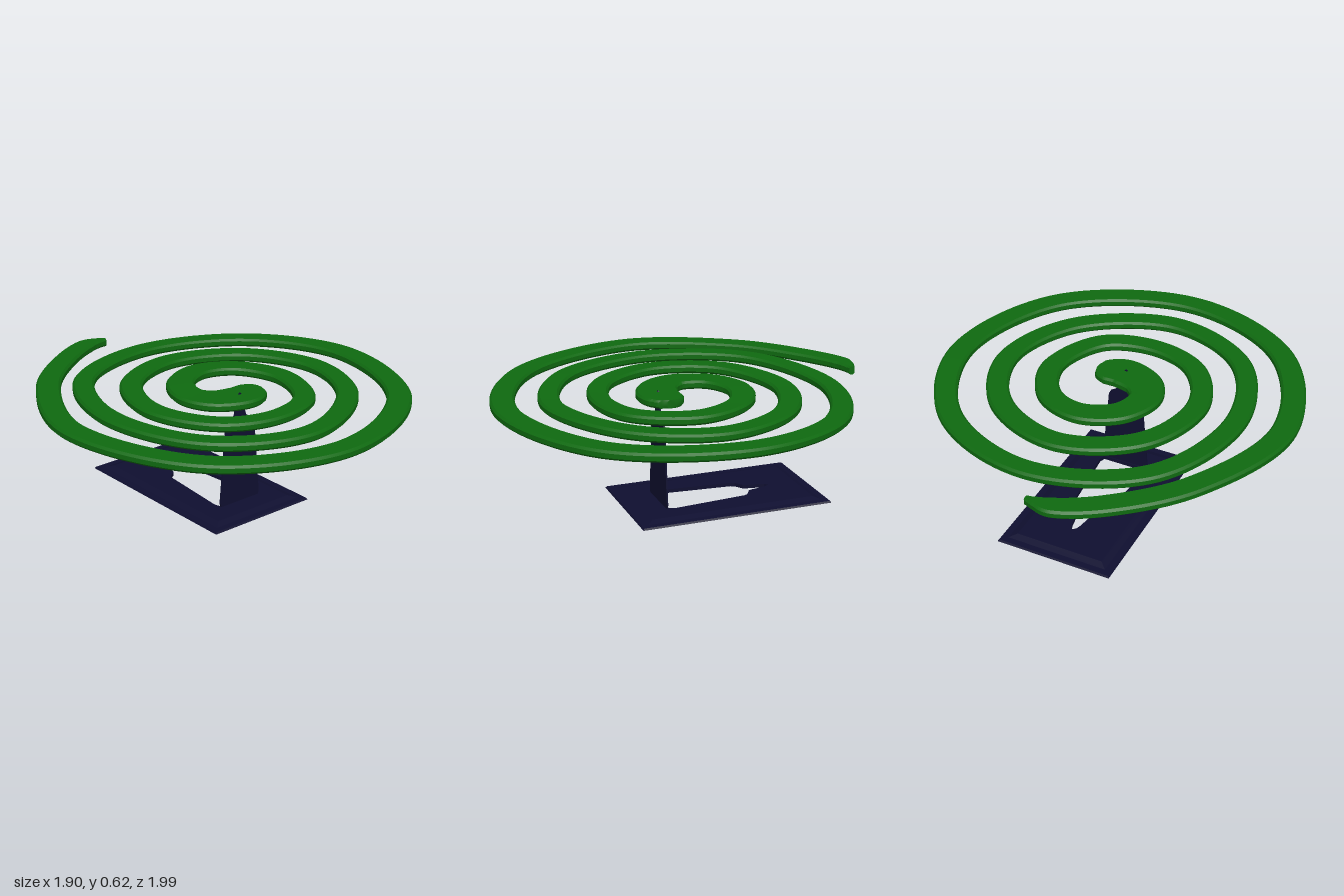
import * as THREE from 'three';
import { toCreasedNormals } from 'three/addons/utils/BufferGeometryUtils.js';

// Spiral centreline, from the centre outwards: [x, z, half width, height]
const SPIRAL = [
  [0.158, 0.14, 0.025, 0.585], [0.143, 0.14, 0.065, 0.585], [0.1, 0.145, 0.094, 0.585], [0.01, 0.16, 0.11, 0.585],
  [-0.115, 0.11, 0.1, 0.585], [-0.172, 0, 0.083, 0.587], [-0.11, -0.165, 0.072, 0.59], [0.07, -0.25, 0.068, 0.59],
  [0.27, -0.175, 0.062, 0.585], [0.38, 0.07, 0.06, 0.58], [0.25, 0.37, 0.056, 0.58],
  [-0.02, 0.452, 0.054, 0.58], [-0.285, 0.355, 0.056, 0.585], [-0.435, 0.05, 0.057, 0.59], [-0.31, -0.315, 0.058, 0.59],
  [0.07, -0.49, 0.059, 0.58], [0.46, -0.33, 0.058, 0.575], [0.632, 0.05, 0.057, 0.575], [0.46, 0.465, 0.056, 0.578],
  [-0.03, 0.7, 0.054, 0.58], [-0.48, 0.5, 0.054, 0.59], [-0.655, 0, 0.055, 0.595], [-0.45, -0.525, 0.055, 0.59],
  [0.1, -0.735, 0.055, 0.575], [0.64, -0.52, 0.058, 0.57], [0.882, 0, 0.063, 0.58], [0.65, 0.64, 0.063, 0.575],
  [-0.02, 0.932, 0.062, 0.578], [-0.63, 0.68, 0.062, 0.588], [-0.892, 0.03, 0.062, 0.6], [-0.67, -0.53, 0.062, 0.6],
  [-0.36, -0.83, 0.061, 0.595], [-0.15, -0.945, 0.055, 0.595], [-0.08, -0.95, 0.036, 0.595], [-0.02, -0.945, 0.015, 0.592],
];

// Bevelled band swept along the spiral
function spiralGeometry() {
  const path = new THREE.CatmullRomCurve3(SPIRAL.map(([x, z]) => new THREE.Vector3(x, 0, z)));
  const size = new THREE.CatmullRomCurve3(SPIRAL.map(([, , w, y], i) => new THREE.Vector3(w, y, i * 0.1)));
  const steps = 480, half = 0.022, bevel = 0.011;
  const pos = [], index = [], n = 8;
  for (let i = 0; i <= steps; i++) {
    const u = i / steps;
    const p = path.getPoint(u), t = path.getTangent(u), { x: w, y } = size.getPoint(u);
    const b = Math.min(bevel, w * 0.5);
    const section = [
      [w, -half + b], [w, half - b], [w - b, half], [b - w, half],
      [-w, half - b], [-w, -half + b], [b - w, -half], [w - b, -half],
    ];
    for (const [s, h] of section) pos.push(p.x - t.z * s, y + h, p.z + t.x * s);
    if (i === steps) break;
    for (let j = 0; j < n; j++) {
      const a = i * n + j, c = i * n + (j + 1) % n;
      index.push(a, a + n, c + n, a, c + n, c);
    }
  }
  const last = steps * n;
  for (let j = 1; j < n - 1; j++) index.push(0, j, j + 1, last, last + j + 1, last + j);
  const g = new THREE.BufferGeometry();
  g.setAttribute('position', new THREE.Float32BufferAttribute(pos, 3));
  g.setIndex(index);
  return toCreasedNormals(g, 0.5);
}

// Outline of the folded-up tongue: [x, height]
const TONGUE = [
  [-0.11, 0.01], [0.13, 0.01], [0.14, 0.04], [0.105, 0.44], [0.095, 0.46], [0.05, 0.488], [0.043, 0.505],
  [0.034, 0.555], [0.03, 0.575], [0.022, 0.6], [0.012, 0.613], [0.006, 0.613],
  [-0.006, 0.6], [-0.015, 0.575], [-0.018, 0.555], [-0.027, 0.505], [-0.034, 0.488],
  [-0.075, 0.46], [-0.085, 0.44], [-0.12, 0.04],
];
const HINGE_Z = 0.16;

// Flat layer of the base, with the hole the tongue was cut from
function baseLayer(inset, depth, slope) {
  const x0 = -0.305 + inset, x1 = 0.315 - inset, y0 = -0.35 + inset, y1 = 0.68 - inset;
  const shape = new THREE.Shape([[x0, y0], [x1, y0], [x1, y1], [x0, y1]].map(p => new THREE.Vector2(...p)));
  shape.holes.push(new THREE.Path(TONGUE.map(([x, h]) => new THREE.Vector2(x, h - HINGE_Z))));
  const g = new THREE.ExtrudeGeometry(shape, { depth, bevelEnabled: false });
  // Pull the upper outer corners in to slope the rim
  const p = g.attributes.position;
  for (let i = 0; i < p.count; i++) {
    const x = p.getX(i), y = p.getY(i);
    const corner = Math.min(Math.abs(x - x0), Math.abs(x - x1)) < 1e-4;
    if (corner && p.getZ(i) > depth / 2) {
      p.setXY(i, x + (x < 0 ? slope : -slope), y + (y < 0 ? slope : -slope));
    }
  }
  g.rotateX(-Math.PI / 2);
  g.computeVertexNormals();
  return g;
}

export function createModel() {
  const green = new THREE.MeshStandardMaterial({ color: 0x0f6a10 });
  green.name = 'green';
  const navy = new THREE.MeshStandardMaterial({ color: 0x0f0f30 });
  navy.name = 'darkNavy';
  const model = new THREE.Group();
  model.name = 'coilOnStand';
  const add = (name, geometry, material, y = 0, z = 0) => {
    const mesh = new THREE.Mesh(geometry, material);
    mesh.name = name;
    mesh.position.set(0, y, z);
    model.add(mesh);
  };

  add('spiralCoil', spiralGeometry(), green);

  // Stand: sheet base with raised frame and upright tongue
  add('basePlate', baseLayer(0, 0.009, 0.006), navy);
  add('baseRaisedFrame', baseLayer(0.04, 0.011, 0.035), navy, 0.009);
  const tongue = new THREE.Shape(TONGUE.map(p => new THREE.Vector2(...p)));
  add('uprightTongue', new THREE.ExtrudeGeometry(tongue, { depth: 0.008, bevelEnabled: false }), navy, 0, HINGE_Z - 0.004);

  return model;
}
